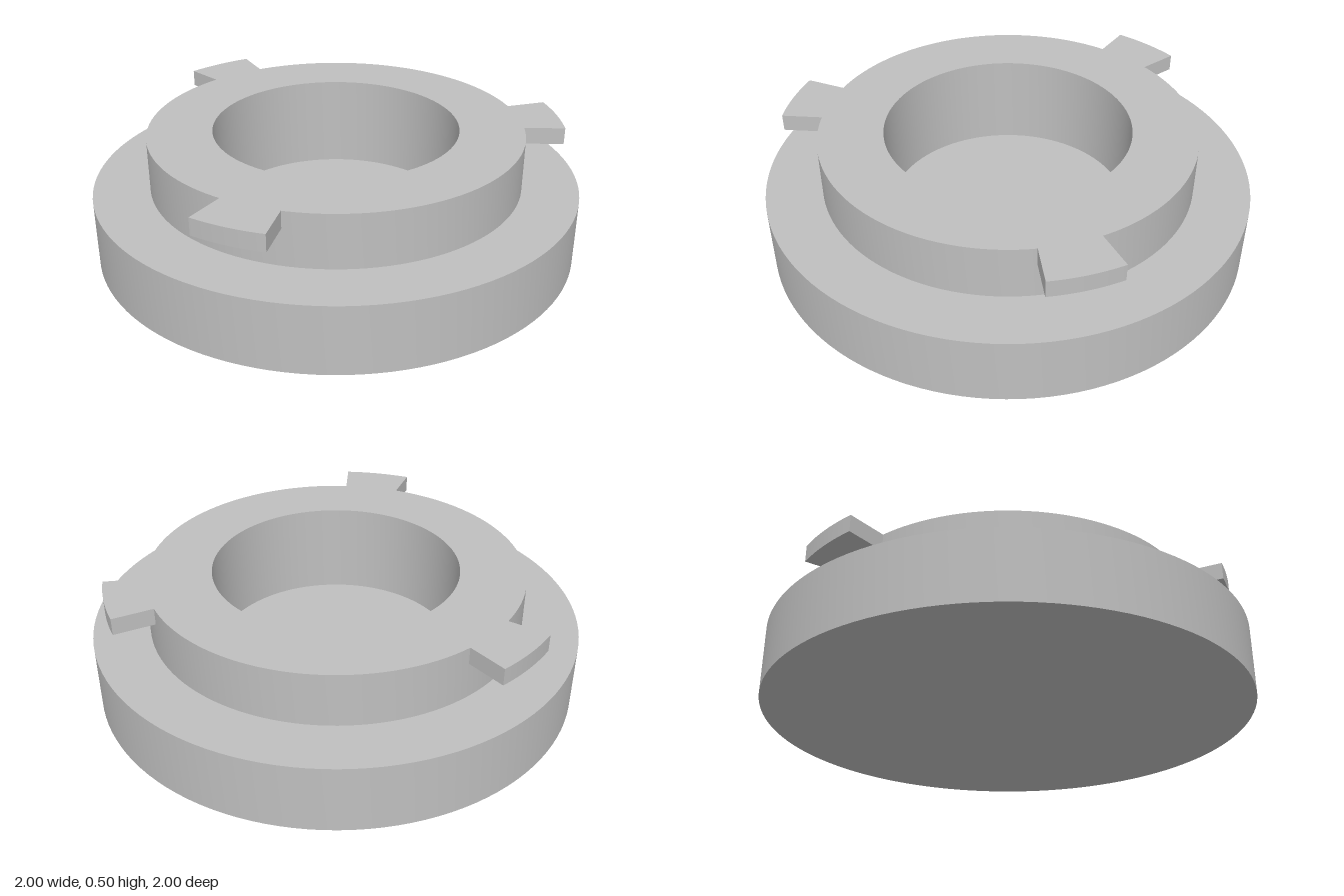
import * as THREE from 'three';
import { toCreasedNormals } from 'three/addons/utils/BufferGeometryUtils.js';

const RING_R = 0.77, TOP = 0.5;

export function createModel() {
  const group = new THREE.Group();
  const grey = new THREE.MeshStandardMaterial({ color: 0xbfbfbf });
  grey.name = 'plain grey';

  const add = (name, geometry) => {
    const mesh = new THREE.Mesh(toCreasedNormals(geometry, 0.5), grey);
    mesh.name = name;
    group.add(mesh);
    return mesh;
  };

  // Base disc, raised collar and blind bore turned as one profile
  const profile = [
    [0, 0], [1, 0], [1, 0.28], [RING_R, 0.28], [RING_R, TOP],
    [0.505, TOP], [0.505, 0.11], [0, 0.11],
  ].map(([r, y]) => new THREE.Vector2(r, y));
  add('flangedBody', new THREE.LatheGeometry(profile, 120));

  // Three bayonet tabs: ring sectors flush with the collar's top
  const start = THREE.MathUtils.degToRad(77);
  const end = THREE.MathUtils.degToRad(94.9);
  const sector = new THREE.Shape();
  sector.absarc(0, 0, 0.937, start, end, false);
  sector.absarc(0, 0, RING_R - 0.001, end, start, true);
  sector.closePath();
  const tab = new THREE.ExtrudeGeometry(sector, { depth: 0.07, bevelEnabled: false, curveSegments: 10 });
  tab.rotateX(-Math.PI / 2);
  tab.translate(0, TOP - 0.07, 0);
  for (let i = 0; i < 3; i++) {
    add('bayonetTab' + (i + 1), tab).rotation.y = (i * 2 * Math.PI) / 3;
  }

  return group;
}
